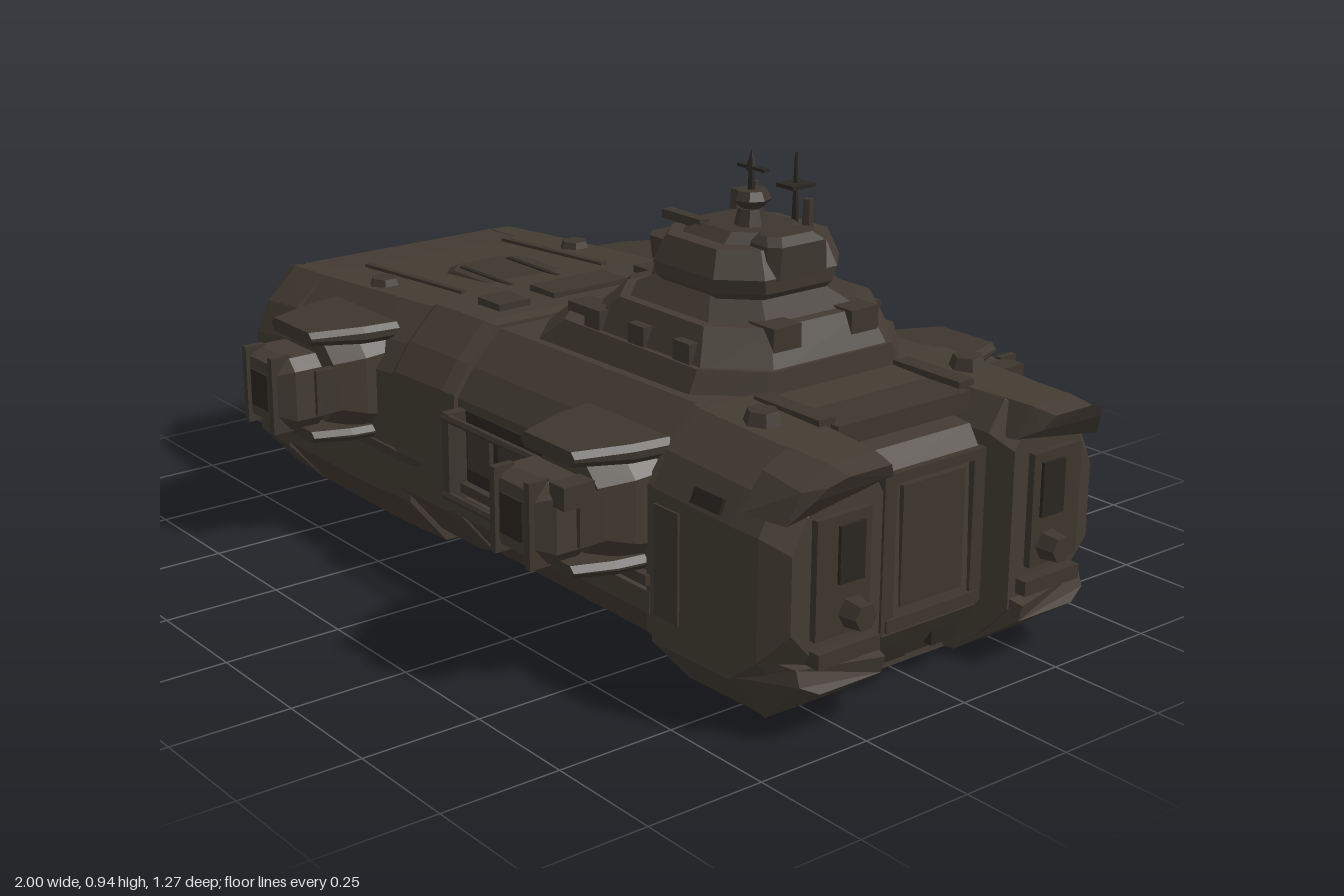
import * as THREE from 'three';

const mat = (name, color) => Object.assign(new THREE.MeshStandardMaterial({ color, flatShading: true }), { name });

export function createModel() {
  const root = new THREE.Group();
  const hull = mat('hull brown', 0x443c33);
  const plate = mat('plate brown', 0x3d362e);
  const dark = mat('recess dark', 0x2a2621);

  const add = (name, geo, m, parent = root) => {
    const mesh = new THREE.Mesh(geo, m);
    mesh.name = name;
    parent.add(mesh);
    return mesh;
  };
  const box = (name, x0, x1, y0, y1, z0, z1, m = plate, parent = root) => {
    const mesh = add(name, new THREE.BoxGeometry(x1 - x0, y1 - y0, z1 - z0), m, parent);
    mesh.position.set((x0 + x1) / 2, (y0 + y1) / 2, (z0 + z1) / 2);
    return mesh;
  };
  const cyl = (name, r0, r1, h, n, x, y, z, m = plate, parent = root) => {
    const mesh = add(name, new THREE.CylinderGeometry(r1, r0, h, n), m, parent);
    mesh.position.set(x, y, z);
    return mesh;
  };

  // Skin a series of convex rings and cap both ends, facing outwards
  const loft = (name, rings, m = hull, parent = root) => {
    const tris = [];
    const n = rings[0].length;
    for (let r = 0; r < rings.length - 1; r++) {
      for (let i = 0; i < n; i++) {
        const j = (i + 1) % n, A = rings[r], B = rings[r + 1];
        tris.push([A[i], A[j], B[j]], [A[i], B[j], B[i]]);
      }
    }
    const end = rings[rings.length - 1];
    for (let i = 1; i < n - 1; i++) {
      tris.push([rings[0][0], rings[0][i + 1], rings[0][i]], [end[0], end[i], end[i + 1]]);
    }
    const v = (p) => new THREE.Vector3(...p);
    const o = v(rings[0][0]);
    const volume = tris.reduce((s, [a, b, c]) => s + v(a).sub(o).dot(v(b).sub(o).cross(v(c).sub(o))), 0);
    const pos = tris.flatMap(([a, b, c]) => (volume > 0 ? [...a, ...b, ...c] : [...a, ...c, ...b]));
    const geo = new THREE.BufferGeometry();
    geo.setAttribute('position', new THREE.Float32BufferAttribute(pos, 3));
    geo.computeVertexNormals();
    return add(name, geo, m, parent);
  };

  // Full hull section: half width w, bottom b, top t
  const section = (x, w, b, t) => {
    const half = [[w - 0.09, b], [w, b + 0.11], [w, t - 0.13], [w - 0.04, t - 0.07], [w - 0.11, t]];
    return [...half.map(([z, y]) => [x, y, z]), ...half.reverse().map(([z, y]) => [x, y, -z])];
  };
  // Rectangle across the hull
  const band = (x, y0, y1, w, lean = 0) => [[x, y0, w], [x, y0, -w], [x + lean, y1, -w], [x + lean, y1, w]];
  // Eight-sided deck outline at height y
  const oct = (y, x0, x1, w, c) => [
    [x0 + c, y, w], [x1 - c, y, w], [x1, y, w - c], [x1, y, c - w],
    [x1 - c, y, -w], [x0 + c, y, -w], [x0, y, c - w], [x0, y, w - c]];

  // Main hull
  loft('bowHull', [section(-0.25, 0.415, 0.005, 0.525), section(-0.42, 0.42, 0, 0.515),
    section(-0.78, 0.42, 0, 0.492)]);
  loft('midHull', [section(-0.26, 0.405, 0.035, 0.525), section(0.6, 0.405, 0.035, 0.535)]);
  loft('hullBand', [section(-0.3, 0.42, 0.04, 0.525), section(-0.28, 0.425, 0.035, 0.535),
    section(-0.1, 0.425, 0.035, 0.54), section(-0.07, 0.415, 0.04, 0.535)]);
  loft('sternHull', [section(0.57, 0.415, 0, 0.535), section(0.8, 0.41, 0, 0.527)]);

  // Bow mouth between the side prongs
  loft('bowRoof', [band(-0.77, 0.37, 0.492, 0.28), band(-0.92, 0.38, 0.48, 0.27), band(-0.98, 0.4, 0.457, 0.25, -0.01)]);
  loft('bowFloor', [band(-0.77, 0, 0.12, 0.27), band(-0.88, 0.005, 0.1, 0.25, -0.03)]);
  box('bowDoor', -0.795, -0.775, 0.14, 0.36, -0.18, 0.18, dark);
  for (const z of [-0.12, 0.12]) box('bowDoorRib', -0.81, -0.78, 0.12, 0.38, z - 0.012, z + 0.012);

  // Stern engine block between the prongs
  loft('sternBlock', [band(0.78, 0.02, 0.48, 0.15), band(0.84, 0.04, 0.48, 0.14, 0.01), band(0.9, 0.13, 0.45, 0.123, -0.01)]);
  for (const s of [-1, 1]) {
    box('sternFrameSide', 0.88, 0.905, 0.14, 0.45, s * 0.115 - 0.015, s * 0.115 + 0.015);
    box('sternVent', 0.85, 0.875, 0.06, 0.1, s * 0.07 - 0.035, s * 0.07 + 0.035, dark);
  }
  box('sternFrameTop', 0.88, 0.905, 0.43, 0.45, -0.12, 0.12);
  box('sternFrameBase', 0.88, 0.91, 0.14, 0.165, -0.12, 0.12);
  box('sternPanel', 0.89, 0.902, 0.18, 0.42, -0.08, 0.08);

  for (const s of [-1, 1]) {
    const side = new THREE.Group();
    side.name = s > 0 ? 'frontSide' : 'backSide';
    side.scale.z = s;
    root.add(side);

    // Prong section with inner and outer chamfers; k pushes the upper edge outwards
    const prong = (x, zi, zo, b, t, k = 0, low = 0.13) => [
      [x, b, zi], [x, b, zo - 0.09], [x, b + 0.1, zo], [x + k * 0.1, t - low, zo],
      [x + k * 0.5, t - low * 0.5, zo - 0.035], [x + k, t, zo - 0.11], [x + k, t, zi + 0.04], [x + k * 0.4, t - 0.06, zi]];
    loft('bowProng', [prong(-0.76, 0.2, 0.42, 0, 0.493), prong(-0.9, 0.215, 0.415, 0.005, 0.484, 0, 0.14),
      prong(-0.972, 0.225, 0.375, 0.08, 0.457, -0.028, 0.16)], hull, side);
    loft('sternProng', [prong(0.6, 0.13, 0.425, 0, 0.537), prong(0.82, 0.145, 0.425, 0.005, 0.53),
      prong(0.89, 0.15, 0.42, 0.06, 0.528), prong(0.94, 0.17, 0.385, 0.12, 0.5)], hull, side);
    // Flared horn over the stern prong
    loft('sternHorn', [
      [[0.84, 0.46, 0.16], [0.84, 0.43, 0.42], [0.84, 0.5, 0.37], [0.84, 0.53, 0.31], [0.84, 0.53, 0.19]],
      [[0.94, 0.465, 0.17], [0.94, 0.43, 0.4], [0.95, 0.49, 0.375], [0.95, 0.528, 0.31], [0.95, 0.528, 0.2]],
      [[0.985, 0.49, 0.19], [0.975, 0.48, 0.365], [0.99, 0.505, 0.35], [1, 0.52, 0.31], [1, 0.52, 0.21]]], hull, side);
    // Sloped foot under the stern prong
    loft('sternFoot', [
      [[0.82, 0, 0.15], [0.82, 0, 0.335], [0.82, 0.11, 0.425], [0.82, 0.17, 0.425], [0.82, 0.17, 0.15]],
      [[0.96, 0.1, 0.18], [0.96, 0.1, 0.33], [0.95, 0.12, 0.37], [0.94, 0.15, 0.37], [0.97, 0.135, 0.18]]], hull, side);

    // Prong end armour and thruster studs
    box('sternProngPanel', 0.93, 0.955, 0.2, 0.43, 0.21, 0.34, plate, side);
    box('sternProngVent', 0.945, 0.962, 0.3, 0.41, 0.23, 0.29, dark, side);
    box('sternProngStep', 0.93, 0.965, 0.15, 0.18, 0.19, 0.34, plate, side);
    cyl('thrusterStud', 0.034, 0.026, 0.06, 6, 0.965, 0.24, 0.255, plate, side).rotation.z = -Math.PI / 2;
    box('bowProngPanel', -0.984, -0.95, 0.16, 0.3, 0.25, 0.34, plate, side);

    // Deck hatches and shoulder strips
    for (const [x, y] of [[-0.57, 0.505], [0.72, 0.54]]) cyl('deckHatch', 0.042, 0.03, 0.035, 6, x, y, 0.265, plate, side);
    box('shoulderStrip', -0.76, -0.36, 0.493, 0.513, 0.185, 0.2, plate, side).rotation.z = 0.06;
    box('shoulderBlock', -0.22, -0.14, 0.53, 0.553, 0.17, 0.25, plate, side);
    box('sternDeckBlock', 0.62, 0.8, 0.52, 0.543, 0.16, 0.2, plate, side);
    box('bowSlot', -0.84, -0.7, 0.15, 0.165, 0.416, 0.423, dark, side);
    box('bowSlot', -0.8, -0.67, 0.22, 0.23, 0.416, 0.423, dark, side);
    box('sternSlot', 0.71, 0.79, 0.41, 0.44, 0.414, 0.422, dark, side).rotation.x = -0.4;
    box('sternDoor', 0.61, 0.68, 0.16, 0.38, 0.418, 0.43, plate, side);

    // Lower belt, cabinets and service rails along the flank
    box('lowerBelt', -0.24, 0.58, 0.145, 0.19, 0.38, 0.416, hull, side);
    box('sideRecess', -0.06, 0.32, 0.22, 0.38, 0.4, 0.408, dark, side);
    for (const x of [-0.02, 0.09, 0.2]) box('sideCabinet', x, x + 0.08, 0.26, 0.35, 0.4, 0.418, plate, side);
    box('sideLedge', -0.64, 0.58, 0.205, 0.225, 0.4, 0.425, plate, side);
    for (const y of [0.2, 0.37]) {
      cyl('sideRail', 0.009, 0.009, 0.38, 6, 0.13, y, 0.448, plate, side).rotation.z = Math.PI / 2;
    }
    for (const x of [-0.05, 0.3]) box('railBracket', x - 0.012, x + 0.012, 0.19, 0.38, 0.4, 0.452, plate, side);

    // Gun pods
    for (const px of [-0.495, 0.445]) {
      const pod = new THREE.Group();
      pod.name = 'gunPod';
      pod.position.x = px;
      side.add(pod);
      const slab = (z, w, y0, y1, c = 0.012) => [[-w + c, y0, z], [w - c, y0, z], [w, y0 + c, z], [w, y1 - c, z],
        [w - c, y1, z], [-w + c, y1, z], [-w, y1 - c, z], [-w, y0 + c, z]];
      loft('podShoulder', [slab(0.36, 0.135, 0.235, 0.465, 0.04), slab(0.44, 0.125, 0.25, 0.455, 0.04),
        slab(0.505, 0.095, 0.265, 0.445, 0.04)], hull, pod);
      loft('podRoof', [slab(0.36, 0.135, 0.445, 0.483), slab(0.44, 0.125, 0.445, 0.483), slab(0.55, 0.085, 0.45, 0.48)], plate, pod);
      loft('podLedge', [slab(0.4, 0.12, 0.227, 0.255), slab(0.47, 0.11, 0.227, 0.255), slab(0.55, 0.08, 0.23, 0.255)], plate, pod);
      box('podNeck', -0.06, 0.06, 0.29, 0.41, 0.49, 0.54, dark, pod);
      loft('podBody', [slab(0.53, 0.09, 0.27, 0.43, 0.025), slab(0.595, 0.09, 0.27, 0.43, 0.025),
        slab(0.628, 0.06, 0.285, 0.415, 0.02)], hull, pod);
      box('podSight', -0.035, 0.035, 0.31, 0.39, 0.622, 0.634, dark, pod);
      for (const k of [-1, 1]) {
        box('podFin', k * 0.055 - 0.008, k * 0.055 + 0.008, 0.265, 0.435, 0.59, 0.637, plate, pod);
        box('podArm', k * 0.09 - 0.01, k * 0.09 + 0.01, 0.3, 0.4, 0.47, 0.55, plate, pod);
      }
    }
    // Sensor vane beside the stern pod
    box('podVane', 0.52, 0.565, 0.39, 0.435, 0.53, 0.6, plate, side);
  }

  // Raised bow deck plates
  loft('deckPlate', [oct(0.48, -0.66, -0.28, 0.12, 0.05), oct(0.516, -0.58, -0.28, 0.1, 0.04)], plate);
  for (const z of [-0.06, 0.07]) box('deckGroove', -0.55, -0.32, 0.514, 0.519, z - 0.006, z + 0.006, dark);
  box('deckStep', -0.24, -0.15, 0.53, 0.55, -0.1, 0.1);
  box('sternCrossbar', 0.65, 0.82, 0.49, 0.53, -0.17, 0.17);

  // Superstructure tiers
  loft('towerBase', [oct(0.52, -0.07, 0.62, 0.28, 0.1), oct(0.58, 0.0, 0.62, 0.255, 0.1)]);
  loft('towerSecondTier', [oct(0.565, 0.04, 0.62, 0.25, 0.1), oct(0.65, 0.14, 0.58, 0.215, 0.09)]);
  loft('towerThirdTier', [oct(0.64, 0.14, 0.57, 0.205, 0.08), oct(0.685, 0.22, 0.5, 0.15, 0.07)], plate);
  loft('foreTurretBase', [oct(0.57, 0.02, 0.24, 0.14, 0.05), oct(0.635, 0.07, 0.24, 0.11, 0.05)], plate);
  loft('foreTurret', [oct(0.63, 0.13, 0.3, 0.1, 0.04), oct(0.68, 0.14, 0.3, 0.08, 0.03)]);
  loft('forePlatform', [oct(0.69, 0.12, 0.28, 0.07, 0.03), oct(0.73, 0.1, 0.28, 0.06, 0.03)], plate);
  cyl('foreCupola', 0.028, 0.02, 0.03, 8, 0.2, 0.745, 0);
  for (const s of [-1, 1]) {
    for (const x of [0.16, 0.3, 0.44]) {
      box('towerButtress', x, x + 0.05, 0.55, 0.62, s * 0.23 - 0.02, s * 0.23 + 0.02);
    }
    box('aftLocker', 0.5, 0.6, 0.59, 0.655, s * 0.1 - 0.035, s * 0.1 + 0.035);
    box('baseLocker', 0.05, 0.14, 0.55, 0.6, s * 0.18 - 0.03, s * 0.18 + 0.03);
  }

  // Bridge
  loft('bridge', [oct(0.675, 0.24, 0.5, 0.14, 0.06), oct(0.695, 0.2, 0.52, 0.155, 0.07),
    oct(0.725, 0.2, 0.525, 0.163, 0.07), oct(0.778, 0.23, 0.5, 0.143, 0.06)]);
  loft('bridgeRoof', [oct(0.775, 0.24, 0.47, 0.11, 0.05), oct(0.797, 0.27, 0.45, 0.08, 0.04)], plate);
  loft('bridgeAftBlock', [oct(0.72, 0.43, 0.53, 0.08, 0.02), oct(0.785, 0.44, 0.53, 0.075, 0.02),
    oct(0.8, 0.45, 0.51, 0.06, 0.02)], plate);
  box('roofGun', 0.2, 0.32, 0.785, 0.803, 0.06, 0.085);

  // Masts and sensors
  cyl('mastBase', 0.035, 0.025, 0.04, 8, 0.385, 0.81, 0.01);
  cyl('mast', 0.01, 0.005, 0.12, 6, 0.385, 0.865, 0.01, dark);
  cyl('mastDrum', 0.022, 0.04, 0.018, 8, 0.385, 0.84, 0.01);
  cyl('mastDrumTop', 0.04, 0.032, 0.018, 8, 0.385, 0.858, 0.01);
  cyl('mastSpike', 0.012, 0.001, 0.04, 6, 0.385, 0.925, 0.01, dark);
  box('mastYard', 0.35, 0.43, 0.908, 0.914, 0.003, 0.017, dark);
  cyl('rearMast', 0.008, 0.003, 0.16, 6, 0.37, 0.84, -0.12, dark);
  box('rearMastArm', 0.345, 0.395, 0.85, 0.858, -0.15, -0.09, dark);
  for (const [x, z, h] of [[0.21, -0.1, 0.08], [0.28, -0.09, 0.11], [0.43, -0.1, 0.1]]) {
    cyl('sensorPost', 0.014, 0.01, h, 6, x, 0.74 + h / 2, z);
  }
  return root;
}
